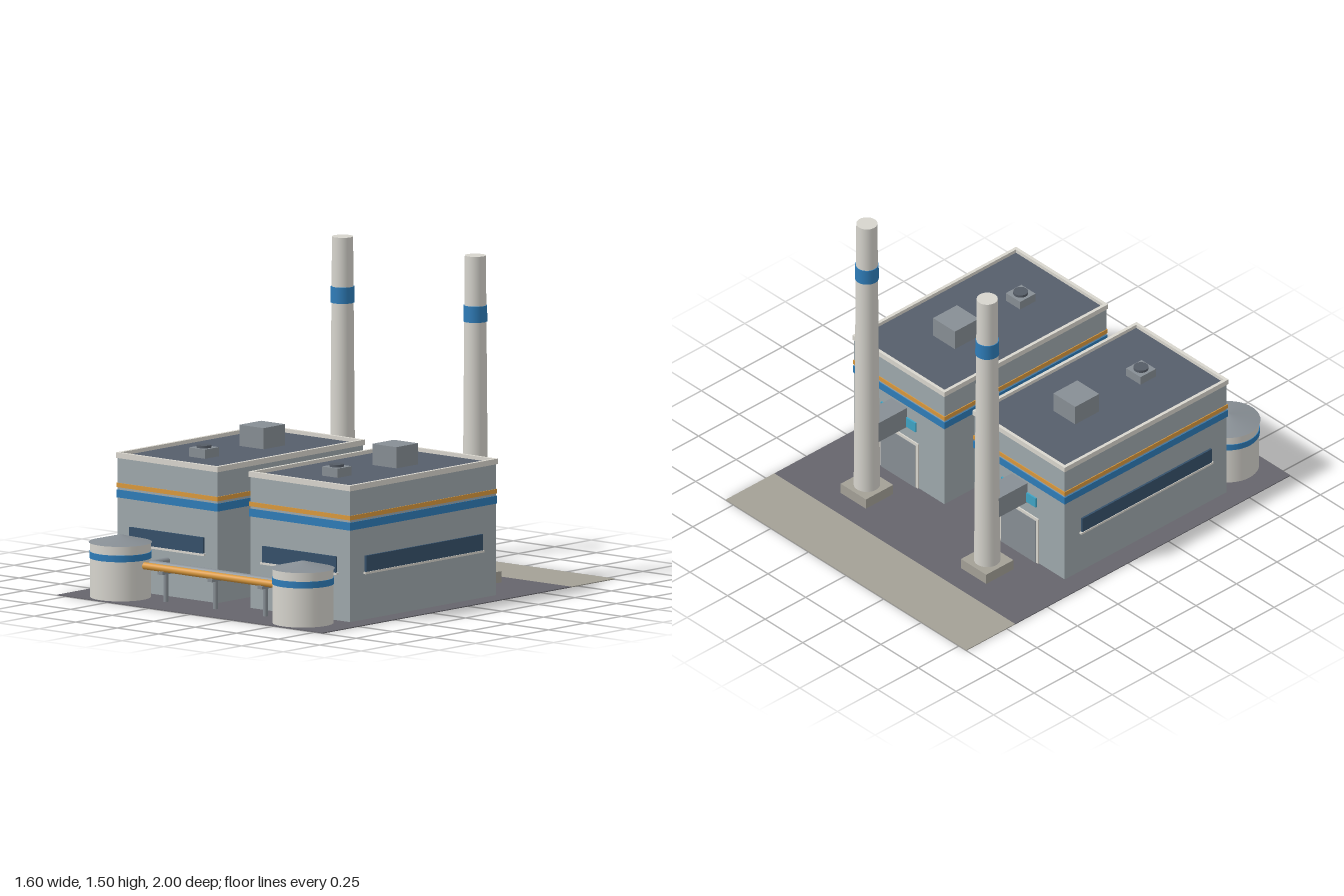
import * as THREE from 'three';

const mat = (color) => new THREE.MeshStandardMaterial({ color });
const M = {
  wall: mat(0x9ea8ac), trim: mat(0xd9d6ce), roof: mat(0x565e6b), blue: mat(0x2e7cb8),
  orange: mat(0xd9983c), glass: mat(0x35506a), steel: mat(0x878e94), dark: mat(0x555c66),
  asphalt: mat(0x66656c), concrete: mat(0xa3a096), pale: mat(0xd6d4cd), cyan: mat(0x3fa3c4),
};

function add(parent, name, geometry, material, x = 0, y = 0, z = 0) {
  const mesh = new THREE.Mesh(geometry, material);
  mesh.name = name;
  mesh.position.set(x, y, z);
  parent.add(mesh);
  return mesh;
}

// Box and cylinder placed by the height of their underside
const box = (p, name, m, w, h, d, x, y, z) =>
  add(p, name, new THREE.BoxGeometry(w, h, d), m, x, y + h / 2, z);
const cyl = (p, name, m, rTop, rBottom, h, x, y, z, seg = 32) =>
  add(p, name, new THREE.CylinderGeometry(rTop, rBottom, h, seg), m, x, y + h / 2, z);

// Rectangular ring lying flat
function ringGeometry(w, d, t, h) {
  const rect = (P, a, b) => new P([
    new THREE.Vector2(-a, -b), new THREE.Vector2(a, -b),
    new THREE.Vector2(a, b), new THREE.Vector2(-a, b),
  ]);
  const shape = rect(THREE.Shape, w / 2, d / 2);
  shape.holes.push(rect(THREE.Path, w / 2 - t, d / 2 - t));
  return new THREE.ExtrudeGeometry(shape, { depth: h, bevelEnabled: false }).rotateX(-Math.PI / 2);
}

// One hall with roof plant and openings; side is the outward x direction
function createHall(side) {
  const g = new THREE.Group();
  g.name = 'hall';
  const zc = 0.2;
  box(g, 'walls', M.wall, 0.6, 0.606, 1.0, 0, 0, zc);
  box(g, 'roof', M.roof, 0.585, 0.01, 0.985, 0, 0.603, zc);
  add(g, 'parapet', ringGeometry(0.612, 1.012, 0.016, 0.025), M.trim, 0, 0.605, zc);
  box(g, 'blueStripe', M.blue, 0.608, 0.036, 1.008, 0, 0.424, zc);
  box(g, 'orangeStripe', M.orange, 0.608, 0.02, 1.008, 0, 0.471, zc);

  // Long windows with sills on the front and the outer side
  box(g, 'frontWindow', M.glass, 0.445, 0.075, 0.02, 0, 0.222, 0.7);
  box(g, 'frontSill', M.trim, 0.46, 0.01, 0.026, 0, 0.213, 0.7);
  box(g, 'sideWindow', M.glass, 0.02, 0.075, 0.8, side * 0.3, 0.222, zc);
  box(g, 'sideSill', M.trim, 0.026, 0.01, 0.815, side * 0.3, 0.213, zc);

  // Rear door and the window strip above it
  box(g, 'doorFrame', M.trim, 0.26, 0.25, 0.012, 0, 0, -0.3);
  box(g, 'rearDoor', M.steel, 0.23, 0.235, 0.018, 0, 0, -0.3);
  box(g, 'rearWindow', M.cyan, 0.23, 0.05, 0.016, 0, 0.31, -0.3);

  // Roof plant
  box(g, 'roofUnit', M.steel, 0.145, 0.1, 0.148, 0, 0.61, 0.05);
  box(g, 'ventBase', M.steel, 0.095, 0.045, 0.095, 0, 0.61, 0.45);
  cyl(g, 'ventCap', M.dark, 0.034, 0.034, 0.012, 0, 0.655, 0.45, 20);
  return g;
}

// Tapered stack with footing, band and flue duct
function createStack() {
  const g = new THREE.Group();
  g.name = 'stack';
  box(g, 'stackFooting', M.concrete, 0.168, 0.055, 0.168, 0, 0, -0.5);
  cyl(g, 'chimney', M.pale, 0.048, 0.06, 1.45, 0, 0.055, -0.5);
  cyl(g, 'stackBand', M.blue, 0.0535, 0.0545, 0.074, 0, 1.203, -0.5);
  box(g, 'flueDuct', M.steel, 0.105, 0.105, 0.19, 0, 0.305, -0.385);
  return g;
}

function createTank() {
  const g = new THREE.Group();
  g.name = 'tank';
  cyl(g, 'tankBody', M.pale, 0.138, 0.138, 0.255, 0, 0, 0, 40);
  cyl(g, 'tankBand', M.blue, 0.141, 0.141, 0.03, 0, 0.184, 0, 40);
  add(g, 'tankRoof', new THREE.ConeGeometry(0.144, 0.035, 40), M.steel, 0, 0.2725, 0);
  return g;
}

function createPipeRack() {
  const g = new THREE.Group();
  g.name = 'pipeRack';
  const orange = add(g, 'orangePipe', new THREE.CylinderGeometry(0.0165, 0.0165, 0.84, 20),
    M.orange, 0, 0.159, 0.843);
  orange.rotation.z = Math.PI / 2;

  // Grey pipe turning back into both halls
  const r = 0.0165, y = 0.165, z = 0.808;
  const main = add(g, 'greyPipe', new THREE.CylinderGeometry(r, r, 0.8, 20), M.steel, 0, y, z);
  main.rotation.z = Math.PI / 2;
  for (const s of [-1, 1]) {
    const branch = add(g, 'greyPipeBranch', new THREE.CylinderGeometry(r, r, 0.12, 20),
      M.steel, s * 0.4, y, z - 0.06);
    branch.rotation.x = Math.PI / 2;
    add(g, 'greyPipeElbow', new THREE.SphereGeometry(r, 20, 12), M.steel, s * 0.4, y, z);
  }

  // Posts with saddles
  for (const x of [-0.3, 0, 0.3]) {
    cyl(g, 'pipePost', M.steel, 0.011, 0.011, 0.135, x, 0, 0.825, 16);
    box(g, 'pipeSaddle', M.steel, 0.028, 0.014, 0.08, x, 0.132, 0.825);
  }
  return g;
}

export function createModel() {
  const model = new THREE.Group();
  model.name = 'powerPlant';

  // Ground
  box(model, 'yard', M.asphalt, 1.6, 0.004, 1.7, 0, 0, 0.15);
  box(model, 'rearApron', M.concrete, 1.6, 0.004, 0.3, 0, 0, -0.85);

  // Two mirrored units
  for (const s of [-1, 1]) {
    const hall = createHall(s);
    hall.position.x = s * 0.4;
    const stack = createStack();
    stack.position.x = s * 0.4;
    const tank = createTank();
    tank.position.set(s * 0.55, 0, 0.852);
    model.add(hall, stack, tank);
  }
  model.add(createPipeRack());
  return model;
}
